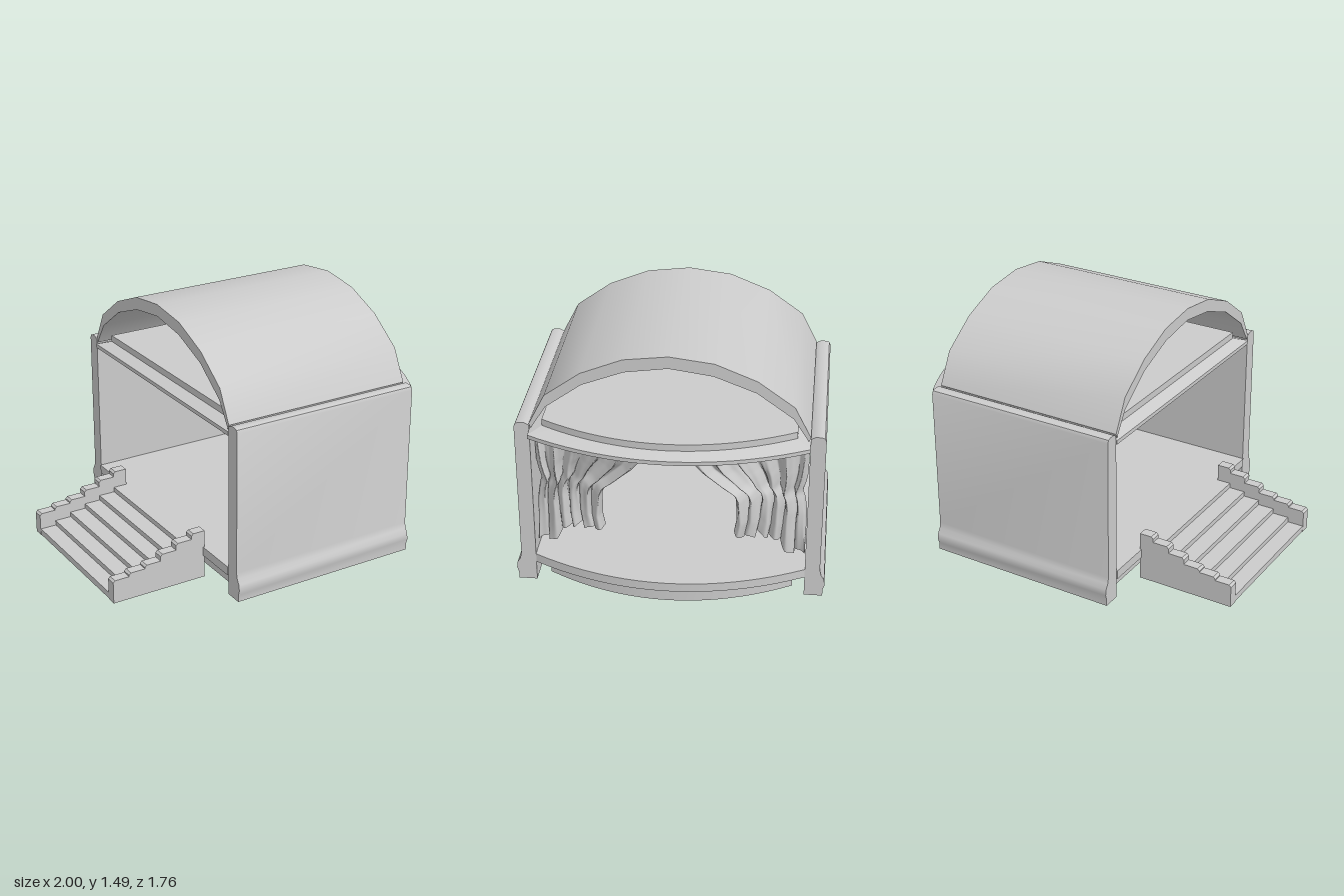
import * as THREE from 'three';
import { toCreasedNormals } from 'three/addons/utils/BufferGeometryUtils.js';

const grey = new THREE.MeshStandardMaterial({ color: 0xcccccc });
const cloth = new THREE.MeshStandardMaterial({ color: 0xcccccc, side: THREE.DoubleSide });
const BACK = -0.42, FRONT = 0.74, HALF = 0.765;

function addMesh(group, name, geometry, material = grey) {
  const mesh = new THREE.Mesh(geometry, material);
  mesh.name = name;
  group.add(mesh);
}

const shapeOf = (pts) => new THREE.Shape(pts.map(([x, y]) => new THREE.Vector2(x, y)));

// Extrudes a [z, y] section along the length of the stage
function alongX(section, x0, x1) {
  const geo = new THREE.ExtrudeGeometry(shapeOf(section.map(([z, y]) => [-z, y])), { depth: x1 - x0, bevelEnabled: false });
  geo.rotateY(Math.PI / 2);
  geo.translate(x0, 0, 0);
  return toCreasedNormals(geo, 0.6);
}

// Slab outline with a bowed front, pulled in by a margin
function outline(inset, corner, bow) {
  const half = HALF - inset, back = BACK - 0.005 + inset, n = 20;
  const pts = [[back, half]];
  for (let i = 0; i <= n; i++) {
    const t = 1 - (2 * i) / n;
    pts.push([corner - inset + bow * (1 - t * t), half * t]);
  }
  pts.push([back, -half]);
  return pts;
}

// Stacks outlines given as [inset, y] into a closed moulded slab
function mouldedSlab(layers, corner, bow) {
  const pos = [];
  const rings = layers.map(([inset, y]) => outline(inset, corner, bow).map(([x, z]) => [x, y, z]));
  const n = rings[0].length;
  for (let r = 0; r < rings.length - 1; r++) {
    for (let i = 0; i < n; i++) {
      const j = (i + 1) % n;
      const a = rings[r][i], b = rings[r][j], c = rings[r + 1][j], d = rings[r + 1][i];
      pos.push(...a, ...b, ...c, ...a, ...c, ...d);
    }
  }
  const low = rings[0], top = rings[rings.length - 1];
  for (let i = 1; i < n - 1; i++) {
    pos.push(...low[0], ...low[i + 1], ...low[i], ...top[0], ...top[i], ...top[i + 1]);
  }
  const geo = new THREE.BufferGeometry();
  geo.setAttribute('position', new THREE.Float32BufferAttribute(pos, 3));
  return toCreasedNormals(geo, 0.25);
}

// Linear lookup through [t, value] pairs
function sample(keys, t) {
  let i = 0;
  while (i < keys.length - 2 && t > keys[i + 1][0]) i++;
  const [t0, a] = keys[i], [t1, b] = keys[i + 1];
  return THREE.MathUtils.lerp(a, b, THREE.MathUtils.clamp((t - t0) / (t1 - t0), 0, 1));
}

// Tied-back curtain with deep folds: u runs from the free edge to the wall, v from top to hem
function curtainGeometry(side) {
  const inner = [[0, 0.12], [0.15, 0.15], [0.27, 0.2], [0.45, 0.3], [0.53, 0.355], [0.6, 0.37], [0.85, 0.375], [1, 0.36]];
  const outer = [[0, 0.765], [0.32, 0.76], [0.4, 0.75], [0.47, 0.735], [0.54, 0.75], [0.65, 0.762], [1, 0.76]];
  const hem = [[0, 0.4], [0.25, 0.39], [0.3, 0.43], [0.45, 0.37], [0.6, 0.36], [0.68, 0.33], [0.73, 0.26], [1, 0.25]];
  const pull = [[0, 0], [0.25, 0.35], [0.5, 0.9], [0.62, 1], [1, 1]];
  const geo = new THREE.PlaneGeometry(1, 1, 140, 48);
  const p = geo.attributes.position;
  for (let i = 0; i < p.count; i++) {
    const u = p.getX(i) + 0.5, v = 0.5 - p.getY(i);
    const phase = u * Math.PI * 11 + 0.9 * Math.sin(v * 5 + u * 5);
    const fold = Math.sin(phase) + 0.25 * Math.sin(phase * 2.3 + 1.3 + v * 4);
    const edge = Math.min(1, u * 12, (1 - u) * 12);
    const sway = 0.018 * edge * v * Math.cos(phase + 0.6 + v * 3);
    const z = THREE.MathUtils.lerp(sample(inner, v), sample(outer, v), u) + sway;
    const bowed = 0.61 + 0.25 * (1 - (z / HALF) ** 2);
    const tied = THREE.MathUtils.lerp(0.745, 0.63, u);
    const x = THREE.MathUtils.lerp(bowed, tied, sample(pull, v)) + fold * (0.03 + 0.008 * v);
    const y = THREE.MathUtils.lerp(0.99, sample(hem, u), v) + 0.012 * v * v * Math.sin(phase + 1);
    p.setXYZ(i, x, y, z * side);
  }
  geo.computeVertexNormals();
  return geo;
}

// Staircase with stepped, chamfered cheek walls
function createStairs() {
  const stairs = new THREE.Group();
  stairs.name = 'stairs';
  const heights = [0.14, 0.16, 0.18, 0.22, 0.26, 0.293];
  const cheek = [[-0.415, 0], [-1, 0]];
  heights.forEach((h, i) => {
    const x0 = -1 + i * 0.1, x1 = i === 5 ? -0.415 : x0 + 0.1;
    cheek.push([x0, h - 0.012], [x0 + 0.012, h], [x1, h]);
  });
  for (const [name, z] of [['leftStairCheek', 0.44], ['rightStairCheek', -0.5]]) {
    const geo = new THREE.ExtrudeGeometry(shapeOf(cheek), { depth: 0.06, bevelEnabled: false });
    geo.translate(0, 0, z);
    addMesh(stairs, name, geo);
  }
  const treads = [[-0.415, 0.02], [-0.44, 0.002], [-0.998, 0.002]];
  for (let i = 0; i < 6; i++) {
    const x0 = i === 0 ? -0.998 : -1 + i * 0.1, h = 0.04 + i * 0.03;
    treads.push([x0, h], [i === 5 ? -0.415 : -0.9 + i * 0.1, h]);
  }
  const geo = new THREE.ExtrudeGeometry(shapeOf(treads), { depth: 0.88, bevelEnabled: false });
  geo.translate(0, 0, -0.44);
  addMesh(stairs, 'stairTreads', geo);
  return stairs;
}

export function createModel() {
  const model = new THREE.Group();
  model.name = 'stage';

  // Side walls with a rounded top and a swelling skirting
  const wall = [[0.765, 0.018], [0.87, 0.018], [0.87, 0.06], [0.88, 0.09], [0.876, 0.125], [0.858, 0.155], [0.85, 0.19],
    [0.85, 1.025], [0.842, 1.043], [0.825, 1.05], [0.79, 1.05], [0.765, 1.035]];
  addMesh(model, 'leftWall', alongX(wall, BACK, FRONT));
  addMesh(model, 'rightWall', alongX(wall.map(([z, y]) => [-z, y]), BACK, FRONT));

  // Arched roof
  const outer = [[0, 1.492], [0.245, 1.462], [0.475, 1.369], [0.675, 1.224], [0.766, 1.045]];
  const inner = [[0, 1.422], [0.24, 1.388], [0.47, 1.3], [0.67, 1.155], [0.755, 1.02]];
  const arc = (half) => [...half.slice(1).reverse().map(([z, y]) => [-z, y]), ...half];
  addMesh(model, 'archedRoof', alongX([...arc(outer), ...arc(inner).reverse()], BACK, FRONT));

  // Stage floor and ceiling, both bowed at the front
  addMesh(model, 'stageFloor', mouldedSlab([[0.07, 0.025], [0.07, 0.098], [0, 0.137], [0, 0.19]], FRONT, 0.21));
  addMesh(model, 'ceiling', mouldedSlab([[0, 0.985], [0, 1.008], [0.07, 1.033], [0.07, 1.072]], 0.8, 0.2));

  // Curtains
  addMesh(model, 'leftCurtain', curtainGeometry(1), cloth);
  addMesh(model, 'rightCurtain', curtainGeometry(-1), cloth);

  model.add(createStairs());
  return model;
}
